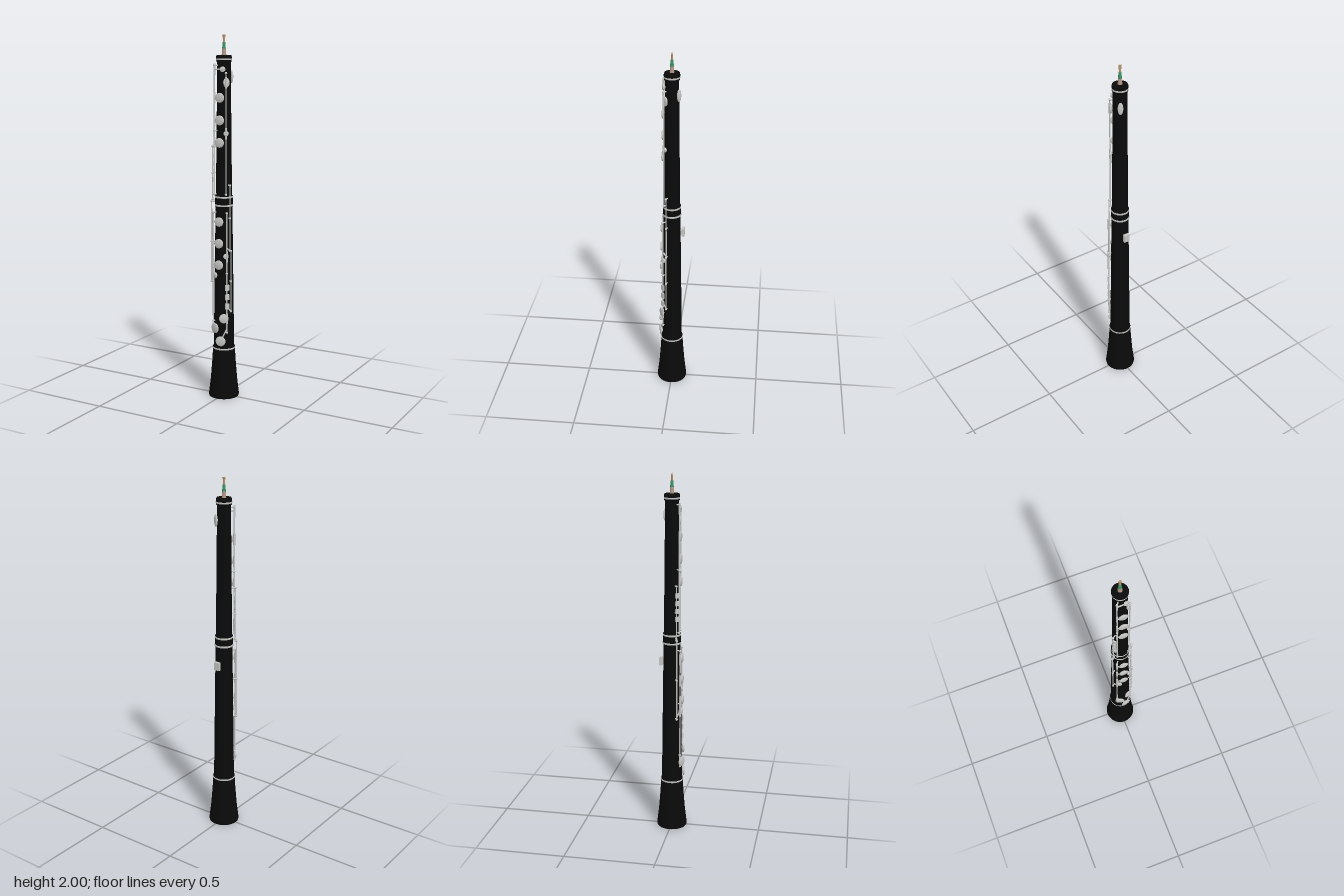
import * as THREE from 'three';

const mat = (name, color, side = THREE.FrontSide) => {
  const m = new THREE.MeshStandardMaterial({ color, side });
  m.name = name;
  return m;
};

// Body profile from top to bottom: [height, radius]
const BODY = [[1.86, 0.036], [1.14, 0.044], [1.08, 0.046], [0.29, 0.057]];
function bodyRadius(y) {
  for (let i = 0; i < BODY.length - 1; i++) {
    const [ya, ra] = BODY[i], [yb, rb] = BODY[i + 1];
    if (y >= yb) return THREE.MathUtils.mapLinear(Math.min(y, ya), ya, yb, ra, rb);
  }
  return 0.057;
}

export function createModel() {
  const root = new THREE.Group();
  const black = mat('blackWood', 0x0a0a0a, THREE.DoubleSide);
  const silver = mat('silver', 0xc8c8c6);
  const cane = mat('cane', 0xb8946a);
  const green = mat('greenThread', 0x3c9468);
  const cork = mat('cork', 0xb59a88);

  const add = (parent, name, geometry, material, x = 0, y = 0, z = 0) => {
    const mesh = new THREE.Mesh(geometry, material);
    mesh.name = name;
    mesh.position.set(x, y, z);
    parent.add(mesh);
    return mesh;
  };
  const lathe = (name, pts, material = black) =>
    add(root, name, new THREE.LatheGeometry(pts.map(p => new THREE.Vector2(...p)), 40), material);
  const bar = (parent, name, a, b, r, material = silver) => {
    const dir = b.clone().sub(a);
    const mesh = add(parent, name, new THREE.CylinderGeometry(r, r, dir.length(), 8), material);
    mesh.position.copy(a).add(b).multiplyScalar(0.5);
    mesh.quaternion.setFromUnitVectors(new THREE.Vector3(0, 1, 0), dir.normalize());
    return mesh;
  };

  // Wooden joints
  lathe('upperJoint', [[0.044, 1.14], [0.036, 1.86]]);
  lathe('lowerJoint', [[0.057, 0.29], [0.046, 1.08]]);
  lathe('middleSocket', [[0.045, 1.08], [0.049, 1.08], [0.048, 1.14], [0.043, 1.14]]);
  lathe('topCap', [[0.036, 1.855], [0.041, 1.86], [0.042, 1.885], [0.039, 1.895], [0.009, 1.895], [0.007, 1.88]]);
  lathe('bell', [[0.046, 0.29], [0.061, 0.288], [0.062, 0.265], [0.066, 0.2], [0.074, 0.1], [0.083, 0.025],
    [0.085, 0.01], [0.083, 0], [0.076, 0], [0.073, 0.015], [0.064, 0.1], [0.05, 0.2], [0.03, 0.28], [0, 0.28]]);

  // Metal rings
  for (const [y, r, h] of [[1.872, 0.0425, 0.009], [1.133, 0.0495, 0.01], [1.087, 0.0505, 0.01], [0.281, 0.0625, 0.009]]) {
    lathe('ring', [[r - 0.004, y - h / 2], [r, y - h / 2], [r, y + h / 2], [r - 0.004, y + h / 2]], silver);
  }

  // Double reed: cork, wrapped tube and flattened cane blades
  const reed = new THREE.Group();
  reed.name = 'reed';
  root.add(reed);
  add(reed, 'reedCork', new THREE.CylinderGeometry(0.010, 0.012, 0.036, 16), cork, 0, 1.91, 0);
  add(reed, 'reedThread', new THREE.CylinderGeometry(0.007, 0.010, 0.034, 16), green, 0, 1.945, 0);
  const blade = new THREE.CylinderGeometry(0.008, 0.006, 0.038, 16, 4);
  const bp = blade.attributes.position;
  for (let i = 0; i < bp.count; i++) {
    bp.setZ(i, bp.getZ(i) * (0.6 - 0.42 * (bp.getY(i) / 0.038)));
  }
  blade.computeVertexNormals();
  add(reed, 'reedBlade', blade, cane, 0, 1.981, 0);

  // Hinge rods with posts at both ends: [x, z, bottom, top]
  const RODS = {
    upperRight: [-0.033, 0.046, 1.15, 1.84],
    upperLeft: [0.035, 0.040, 1.15, 1.80],
    trill: [-0.051, 0.034, 1.12, 1.41],
    sideRight: [-0.057, 0.037, 0.66, 1.11],
    lowerRight: [-0.038, 0.052, 0.44, 1.05],
    bridge: [0.053, 0.027, 0.84, 1.20],
    sideLeft: [0.060, 0.028, 0.50, 0.84],
    lowerLeft: [0.045, 0.047, 0.38, 1.05],
  };
  for (const [key, [x, z, y0, y1]] of Object.entries(RODS)) {
    const g = new THREE.Group();
    g.name = key + 'Rod';
    root.add(g);
    bar(g, 'rod', new THREE.Vector3(x, y0, z), new THREE.Vector3(x, y1, z), 0.0038);
    for (const y of [y0, (y0 + y1) / 2, y1]) {
      const out = new THREE.Vector3(x, y, z);
      const k = (bodyRadius(y) - 0.003) / Math.hypot(x, z);
      bar(g, 'post', new THREE.Vector3(x * k, y, z * k), out, 0.0035);
      add(g, 'postBall', new THREE.SphereGeometry(0.0068, 10, 8), silver, x, y, z);
    }
  }

  // Round key cups, facing outward, each with an arm to its rod
  const cup = new THREE.LatheGeometry(
    [[0, -0.5], [0.85, -0.5], [1, -0.3], [1, 0.2], [0.8, 0.45], [0, 0.6]].map(p => new THREE.Vector2(...p)), 24);
  const key = (name, angle, y, r, rodName, stretch = 1) => {
    const g = new THREE.Group();
    g.name = name;
    root.add(g);
    const d = bodyRadius(y) + 0.009;
    const s = Math.sin(angle), c = Math.cos(angle);
    const holder = new THREE.Group();
    holder.position.set(s * d, y, c * d);
    holder.rotation.y = angle;
    g.add(holder);
    const disc = add(holder, 'cup', cup, silver);
    disc.rotation.x = Math.PI / 2;
    disc.scale.set(r, 0.011, r * stretch);
    bar(g, 'padStem', new THREE.Vector3(s * (d - 0.01), y, c * (d - 0.01)), holder.position, r * 0.55);
    if (rodName) {
      const [x, z] = RODS[rodName];
      bar(g, 'arm', holder.position, new THREE.Vector3(x, y, z), 0.004);
      bar(g, 'hingeTube', new THREE.Vector3(x, y - 0.03, z), new THREE.Vector3(x, y + 0.03, z), 0.0055);
    }
  };
  for (const y of [1.67, 1.55, 1.43]) key('upperFingerKey', 0, y, 0.026, 'upperRight');
  for (const y of [1.0, 0.88, 0.76]) key('lowerFingerKey', 0, y, 0.026, 'lowerRight');
  key('smallTopKey', 0.35, 1.82, 0.015, 'upperRight');
  key('sideTopKey', 0.8, 1.75, 0.017, 'upperLeft', 1.5);
  key('sideVentKey', 0.75, 1.48, 0.014, 'upperLeft');
  key('lowerVentKey', -0.45, 0.70, 0.017, 'lowerRight');
  key('lowerSideKey', 0.7, 0.81, 0.015, 'lowerLeft');
  key('footKeyTop', 0.5, 0.46, 0.026, 'lowerLeft');
  key('footKeyMiddle', -0.37, 0.40, 0.028, 'lowerRight');
  key('footKeyBottom', 0.22, 0.33, 0.028);
  key('octaveKey', 2.6, 1.78, 0.014, null, 2.4);

  // Small flat touch pieces along the side rods
  const touch = (name, x, y, z, w, h) => {
    const m = add(root, name, new THREE.BoxGeometry(w, h, 0.008), silver, x, y, z);
    m.rotation.y = Math.atan2(x, z);
  };
  for (let i = 0; i < 4; i++) touch('trillTouch', -0.046, 1.23 + i * 0.043, 0.038, 0.022, 0.026);
  for (let i = 0; i < 3; i++) touch('littleFingerTouch', 0.047, 0.53 + i * 0.053, 0.047, 0.022, 0.032);

  // Curved levers around the lower joint
  const lever = (name, a0, a1, y0, y1) => {
    const pts = [0, 0.33, 0.67, 1].map(t => {
      const a = a0 + (a1 - a0) * t, y = y0 + (y1 - y0) * t, r = bodyRadius(y) + 0.008;
      return new THREE.Vector3(Math.sin(a) * r, y, Math.cos(a) * r);
    });
    add(root, name, new THREE.TubeGeometry(new THREE.CatmullRomCurve3(pts), 12, 0.004, 6), silver);
  };
  lever('footLever', 0.22, 0.75, 0.33, 0.40);
  lever('sideLever', 0.75, 1.13, 0.53, 0.50);
  lever('bridgeLever', 0.75, 1.1, 0.86, 0.84);
  lever('rightLever', -1.0, -0.63, 0.66, 0.70);

  // Thumb rest on the back
  add(root, 'thumbRest', new THREE.BoxGeometry(0.033, 0.045, 0.016), silver, 0, 0.978, -0.061);
  add(root, 'thumbRestBase', new THREE.BoxGeometry(0.018, 0.03, 0.014), silver, 0, 0.978, -0.049);

  return root;
}
